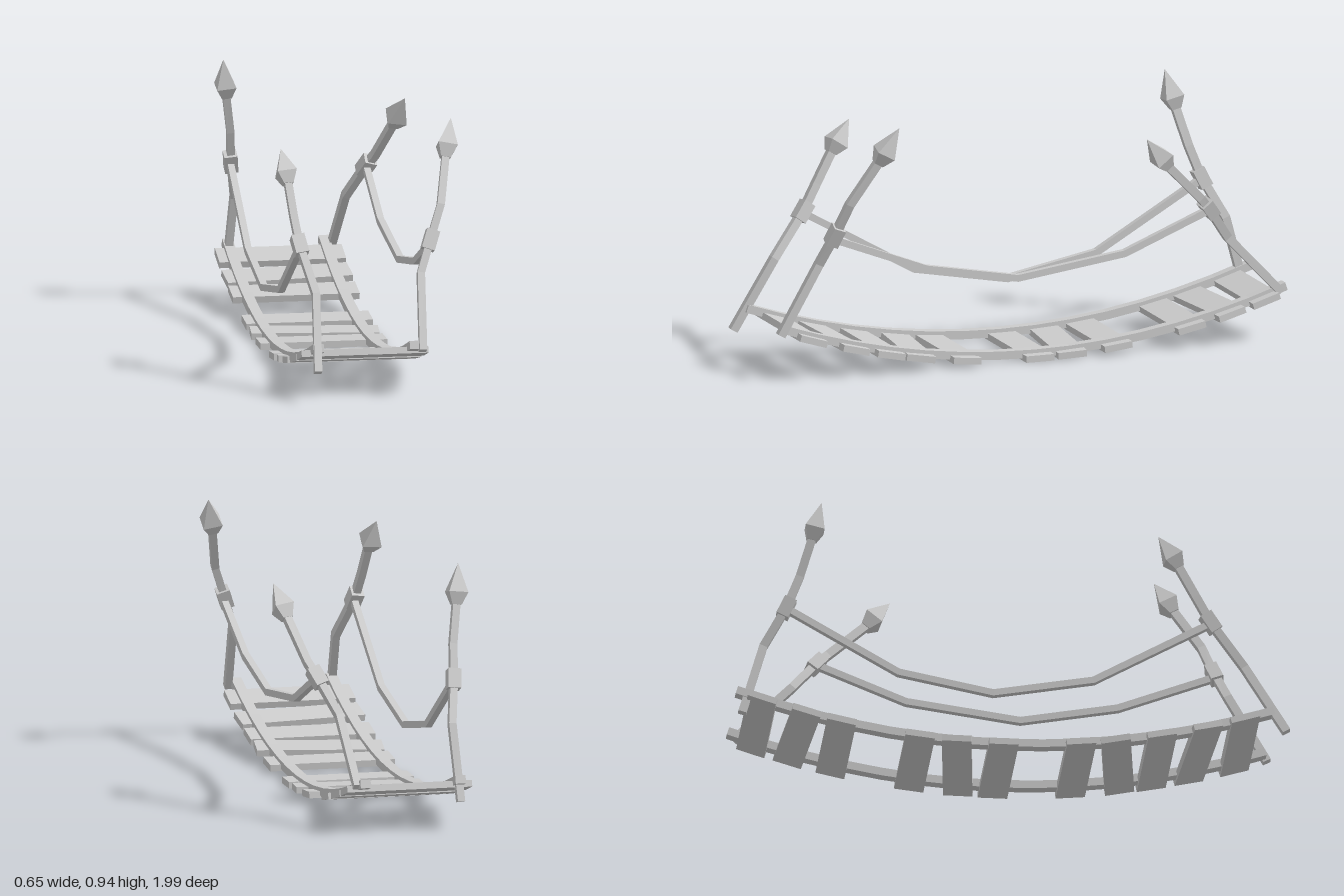
import * as THREE from 'three';

const material = new THREE.MeshStandardMaterial({ color: 0xcccccc, flatShading: true });
const V = (p) => new THREE.Vector3(...p);

// Square bar swept through points; scale gives a size factor for each ring
function bar(name, points, width, height, scale = () => 1) {
  const pts = points.map((p) => (p.isVector3 ? p : V(p)));
  const last = pts.length - 1;
  const pos = [], index = [];
  pts.forEach((p, i) => {
    const t = new THREE.Vector3();
    if (i > 0) t.add(p.clone().sub(pts[i - 1]).normalize());
    if (i < last) t.add(pts[i + 1].clone().sub(p).normalize());
    t.normalize();
    const side = new THREE.Vector3(1, 0, 0).addScaledVector(t, -t.x).normalize();
    const up = t.clone().cross(side);
    const k = scale(i) / 2;
    for (const [a, b] of [[-1, -1], [1, -1], [1, 1], [-1, 1]]) {
      const c = p.clone().addScaledVector(side, a * width * k).addScaledVector(up, b * height * k);
      pos.push(c.x, c.y, c.z);
    }
    if (i < last) {
      for (let j = 0; j < 4; j++) {
        const a = i * 4 + j, b = i * 4 + (j + 1) % 4;
        index.push(a, b, b + 4, a, b + 4, a + 4);
      }
    }
  });
  const e = last * 4;
  index.push(0, 2, 1, 0, 3, 2, e, e + 1, e + 2, e, e + 2, e + 3);
  const indexed = new THREE.BufferGeometry();
  indexed.setAttribute('position', new THREE.Float32BufferAttribute(pos, 3));
  indexed.setIndex(index);
  const geometry = indexed.toNonIndexed();
  geometry.computeVertexNormals();
  const mesh = new THREE.Mesh(geometry, material);
  mesh.name = name;
  return mesh;
}

// Sag of the bridge deck along z
const sag = (z) => 0.027 + 0.168 * ((z + 0.025) / 0.965) ** 2;
const slope = (z) => 2 * 0.168 * (z + 0.025) / 0.965 ** 2;

// Post with a knot at its third point and a spear head from its last point to the tip
function post(name, path, tip) {
  const group = new THREE.Group();
  group.name = name;
  group.add(bar('postShaft', path, 0.027, 0.03));

  const knot = V(path[2]);
  const dir = V(path[3]).sub(V(path[1])).normalize();
  group.add(bar('postKnot', [
    knot.clone().addScaledVector(dir, -0.036),
    knot.clone().addScaledVector(dir, 0.036),
  ], 0.048, 0.046));

  const base = V(path[path.length - 1]), end = V(tip);
  const sizes = [0.035, 0.07, 0.001];
  group.add(bar('spearHead', [
    base.clone().lerp(end, -0.08), base.clone().lerp(end, 0.25), end,
  ], 1, 1, (i) => sizes[i]));
  return group;
}

export function createModel() {
  const model = new THREE.Group();
  model.name = 'ropeBridge';

  // Curved side rails
  for (const [name, x] of [['rightRail', -0.23], ['leftRail', 0.12]]) {
    const points = [];
    for (let i = 0; i <= 14; i++) {
      const z = -0.99 + i * (1.93 / 14);
      points.push([x, sag(z), z]);
    }
    model.add(bar(name, points, 0.038, 0.03));
  }

  // Deck planks: position along the bridge and yaw
  const planks = [
    [-0.9, 0], [-0.755, 0.065], [-0.615, 0], [-0.333, 0], [-0.18, -0.1], [-0.033, 0],
    [0.245, 0], [0.395, -0.12], [0.535, 0], [0.685, 0.07], [0.833, 0],
  ];
  const plankGeometry = new THREE.BoxGeometry(0.46, 0.024, 0.106);
  planks.forEach(([z, yaw], i) => {
    const plank = new THREE.Mesh(plankGeometry, material);
    plank.name = `plank${i + 1}`;
    plank.position.set(-0.052, sag(z) - 0.01, z);
    plank.rotation.set(-Math.atan(slope(z)), yaw, 0);
    model.add(plank);
  });

  // Bent corner posts
  model.add(
    post('frontLeftPost', [
      [0.147, 0.175, 0.95], [0.163, 0.43, 0.81], [0.205, 0.54, 0.765],
      [0.25, 0.66, 0.725], [0.285, 0.82, 0.625],
    ], [0.315, 0.94, 0.56]),
    post('frontRightPost', [
      [-0.24, 0.115, 0.985], [-0.222, 0.37, 0.835], [-0.26, 0.525, 0.71],
      [-0.272, 0.62, 0.655], [-0.282, 0.735, 0.59],
    ], [-0.295, 0.84, 0.52]),
    post('backLeftPost', [
      [0.145, 0.18, -0.965], [0.16, 0.4, -0.755], [0.218, 0.525, -0.662],
      [0.243, 0.572, -0.62], [0.285, 0.715, -0.475],
    ], [0.312, 0.82, -0.39]),
    post('backRightPost', [
      [-0.235, 0.11, -0.97], [-0.222, 0.38, -0.893], [-0.248, 0.525, -0.812],
      [-0.257, 0.645, -0.765], [-0.28, 0.79, -0.722],
    ], [-0.295, 0.922, -0.69]),
  );

  // Sagging hand ropes between the knots
  model.add(
    bar('leftHandRope', [
      [0.207, 0.525, 0.765], [0.213, 0.393, 0.42], [0.215, 0.33, 0.07],
      [0.215, 0.387, -0.34], [0.218, 0.52, -0.662],
    ], 0.024, 0.025),
    bar('rightHandRope', [
      [-0.257, 0.52, 0.71], [-0.255, 0.28, 0.29], [-0.255, 0.215, -0.07],
      [-0.254, 0.283, -0.41], [-0.25, 0.52, -0.812],
    ], 0.024, 0.025),
  );
  return model;
}
